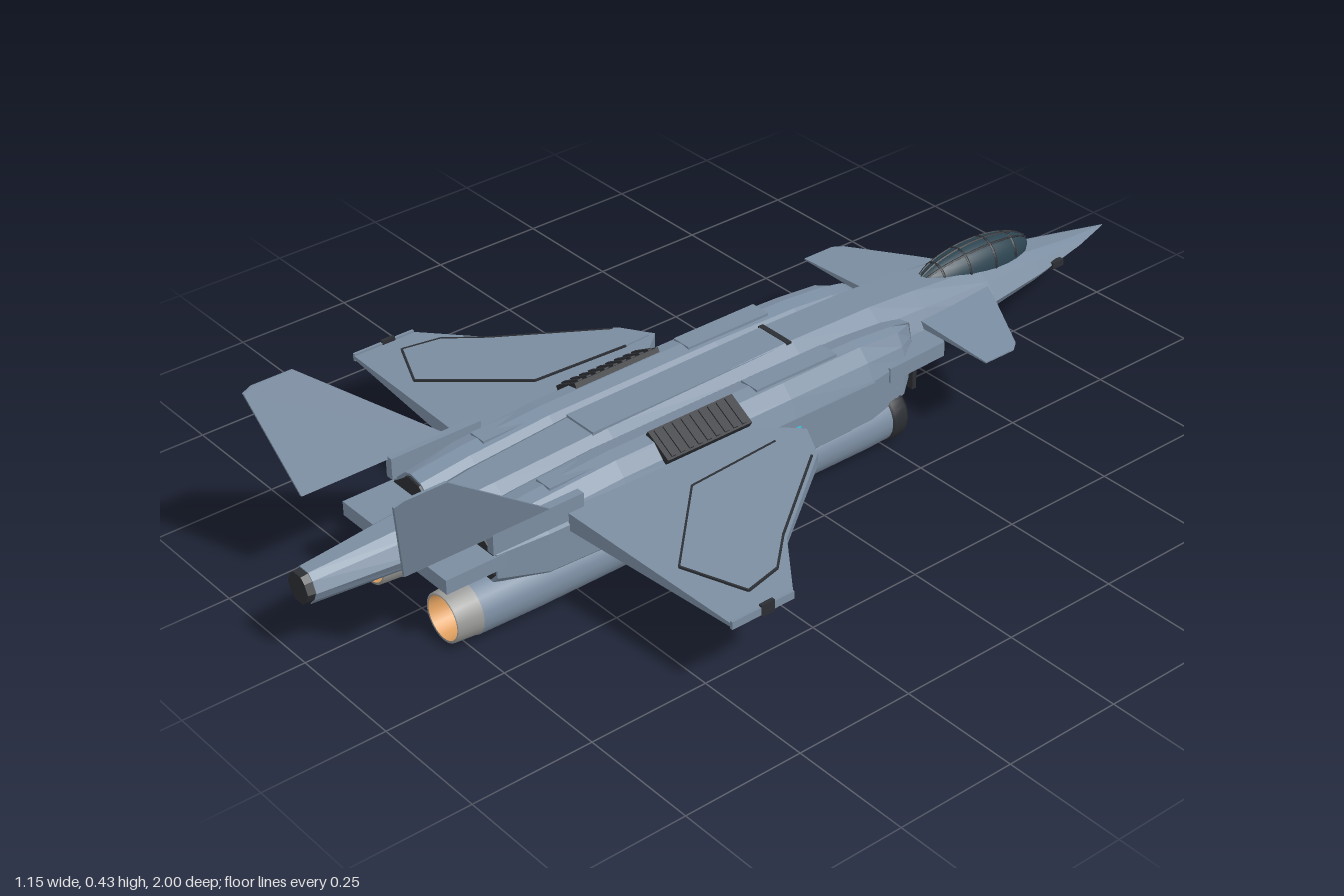
import * as THREE from 'three';

const mat = (color) => new THREE.MeshStandardMaterial({ color, flatShading: true, side: THREE.DoubleSide });
const smooth = (color) => new THREE.MeshStandardMaterial({ color, side: THREE.DoubleSide });
const HULL = 0x7b8da1, DARK = 0x2b2e33, METAL = 0x9a9a98, GLOW = 0xe0a060, CYAN = 0x35c4dc;

// Skin between cross-sections [z, [[x, y], ...]] listed front to back, corners counter-clockwise
function loft(sections) {
  const pos = [], put = (s, i) => pos.push(s[1][i][0], s[1][i][1], s[0]);
  const n = sections[0][1].length, last = sections[sections.length - 1];
  for (let k = 0; k + 1 < sections.length; k++) {
    const a = sections[k], b = sections[k + 1];
    for (let i = 0; i < n; i++) {
      const j = (i + 1) % n;
      put(a, i); put(a, j); put(b, j);
      put(a, i); put(b, j); put(b, i);
    }
  }
  for (let i = 1; i + 1 < n; i++) {
    put(sections[0], 0); put(sections[0], i + 1); put(sections[0], i);
    put(last, 0); put(last, i); put(last, i + 1);
  }
  const g = new THREE.BufferGeometry();
  g.setAttribute('position', new THREE.Float32BufferAttribute(pos, 3));
  g.computeVertexNormals();
  return g;
}

// Flat surface from [x, z] outline; bottom and top heights are functions of x
function plate(outline, low, high) {
  const shape = new THREE.Shape(outline.map(([x, z]) => new THREE.Vector2(x, -z)));
  const g = new THREE.ExtrudeGeometry(shape, { depth: 1, bevelEnabled: false });
  g.rotateX(-Math.PI / 2);
  const p = g.attributes.position;
  for (let i = 0; i < p.count; i++) p.setY(i, p.getY(i) > 0.5 ? high(p.getX(i)) : low(p.getX(i)));
  g.computeVertexNormals();
  return g;
}

// Turned part along z from [radius, z] points
function turned(points, sides = 24) {
  return new THREE.LatheGeometry(points.map(([r, z]) => new THREE.Vector2(r, z)), sides).rotateX(Math.PI / 2);
}

function box(w, h, d, x, y, z) {
  return new THREE.BoxGeometry(w, h, d).translate(x, y, z);
}

function mirrored(geo) {
  const g = geo.index ? geo.toNonIndexed() : geo.clone();
  g.scale(-1, 1, 1);
  for (const a of Object.values(g.attributes)) {
    for (let i = 0; i < a.count; i += 3) {
      for (let c = 0; c < a.itemSize; c++) {
        const t = a.getComponent(i + 1, c);
        a.setComponent(i + 1, c, a.getComponent(i + 2, c));
        a.setComponent(i + 2, c, t);
      }
    }
  }
  return g;
}

export function createModel() {
  const root = new THREE.Group();
  const hull = mat(HULL), dark = mat(DARK), cyan = mat(CYAN), glass = smooth(0x2c4450);
  const hullSmooth = smooth(HULL), darkSmooth = smooth(DARK), metal = smooth(METAL), glow = smooth(GLOW);
  const add = (name, geo, material) => {
    const m = new THREE.Mesh(geo, material);
    m.name = name;
    root.add(m);
  };
  const pair = (name, geo, material) => {
    add(name + 'Left', geo, material);
    add(name + 'Right', mirrored(geo), material);
  };

  // Central fuselage from nose to tail boom
  const body = (z, w, top, mid, bot) => {
    const half = [[w, mid], [w * 0.72, mid + (top - mid) * 0.65], [w * 0.38, top]];
    const under = [[w * 0.4, bot], [w * 0.78, bot + (mid - bot) * 0.45]];
    const flip = (list) => list.map(([x, y]) => [-x, y]).reverse();
    return [z, [...half, ...flip(half), ...flip(under), ...under]];
  };
  add('fuselage', loft([
    body(-1, 0.001, 0.166, 0.165, 0.164), body(-0.9, 0.032, 0.178, 0.165, 0.152),
    body(-0.75, 0.066, 0.202, 0.167, 0.132), body(-0.6, 0.09, 0.222, 0.17, 0.118),
    body(-0.42, 0.098, 0.24, 0.17, 0.106), body(-0.3, 0.1, 0.248, 0.17, 0.095),
    body(-0.1, 0.1, 0.251, 0.17, 0.09), body(0.35, 0.1, 0.241, 0.17, 0.09),
    body(0.6, 0.085, 0.226, 0.165, 0.1), body(0.75, 0.062, 0.212, 0.163, 0.118),
    body(0.985, 0.036, 0.196, 0.163, 0.13)]), hull);
  add('tailCap', loft([body(0.985, 0.034, 0.194, 0.163, 0.132), body(1, 0.032, 0.192, 0.163, 0.134)]), dark);
  add('spinePanel', box(0.08, 0.008, 0.46, 0, 0.244, 0.15).rotateX(0.01), hull);
  add('spineBand', box(0.084, 0.006, 0.012, 0, 0.249, -0.09), dark);
  pair('noseSensor', box(0.012, 0.014, 0.03, 0.053, 0.165, -0.81), dark);

  // Side nacelles with swept intake hoods
  const nacelle = (z, s, top, x1, bot) => [z, [
    [x1, 0.175], [x1 - 0.016 * s, top - 0.03], [x1 - 0.04 * s, top - 0.005], [0.1, top],
    [0.07, top - 0.005], [0.045, top - 0.025], [0.035, 0.13], [0.055, bot], [x1 - 0.014, bot], [x1, bot + 0.015]]];
  pair('nacelle', loft([
    nacelle(-0.35, 0.3, 0.222, 0.11, 0.11), nacelle(-0.3, 0.6, 0.232, 0.145, 0.085),
    nacelle(-0.2, 1, 0.24, 0.162, 0.075), nacelle(0, 1, 0.243, 0.168, 0.075),
    nacelle(0.4, 1, 0.24, 0.168, 0.075), nacelle(0.58, 1, 0.228, 0.166, 0.08),
    nacelle(0.69, 1, 0.215, 0.158, 0.11)]), hull);
  pair('nacelleRearFace', loft([nacelle(0.688, 1, 0.211, 0.154, 0.114), nacelle(0.694, 1, 0.209, 0.152, 0.116)]), dark);
  pair('shoulderShelf', plate([[0.08, -0.42], [0.15, -0.4], [0.157, -0.25], [0.08, -0.25]],
    () => 0.15, () => 0.182), hull);
  pair('intakeMouth', box(0.07, 0.075, 0.01, 0.1, 0.13, -0.336), dark);
  pair('rearShelf', box(0.11, 0.03, 0.13, 0.105, 0.158, 0.735), hull);
  pair('sideStrip', box(0.004, 0.006, 0.42, 0.1685, 0.155, 0.2), cyan);
  pair('sideLedge', box(0.012, 0.012, 0.6, 0.163, 0.172, 0.1), hull);
  pair('upperPanelFront', box(0.045, 0.006, 0.2, 0.1, 0.241, -0.04), hull);
  pair('upperPanelRear', box(0.04, 0.006, 0.18, 0.1, 0.235, 0.45).rotateX(0.01), hull);

  // Slotted vents on the nacelle shoulders
  const vent = new THREE.Group();
  vent.name = 'vents';
  const slope = (g, z) => g.rotateZ(-0.52).translate(0.135, 0.227, z);
  for (const side of [1, -1]) {
    const put = (name, geo, material) => {
      const m = new THREE.Mesh(side > 0 ? geo : mirrored(geo), material);
      m.name = name;
      vent.add(m);
    };
    put('ventBed', slope(new THREE.BoxGeometry(0.068, 0.014, 0.2), 0.21), dark);
    for (let i = 0; i < 9; i++) put('ventSlat', slope(new THREE.BoxGeometry(0.06, 0.02, 0.01), 0.126 + i * 0.021), dark);
  }
  root.add(vent);

  // Canopy with frame bars
  add('canopy', new THREE.SphereGeometry(1, 28, 18).scale(0.043, 0.053, 0.155).translate(0, 0.21, -0.615), glass);
  for (const t of [-0.6, -0.2, 0.25, 0.65]) {
    const r = Math.sqrt(1 - t * t);
    add('canopyFrame', new THREE.TorusGeometry(r, 0.05, 5, 20, Math.PI)
      .scale(0.043, 0.053, 0.06).translate(0, 0.21, -0.615 + t * 0.155), dark);
  }
  for (const a of [-0.5, 0, 0.5]) {
    const pts = [];
    for (let i = 0; i <= 12; i++) {
      const t = -0.95 + i * 1.9 / 12, r = Math.sqrt(1 - t * t);
      pts.push(new THREE.Vector3(Math.sin(a) * r * 0.043, 0.21 + Math.cos(a) * r * 0.053, -0.615 + t * 0.155));
    }
    add('canopyRail', new THREE.TubeGeometry(new THREE.CatmullRomCurve3(pts), 20, 0.0025, 5), dark);
  }

  // Canards
  pair('canard', plate([[0.06, -0.6], [0.11, -0.575], [0.25, -0.495], [0.265, -0.475], [0.265, -0.4], [0.06, -0.4]],
    (x) => 0.182 + x * 0.015, (x) => 0.202 - x * 0.05), hull);
  pair('canardRootGlow', box(0.004, 0.006, 0.14, 0.1, 0.178, -0.48), cyan);

  // Main wings, raised wing panels and tip rails
  const wingTop = (x) => 0.199 - (x - 0.16) * 0.072;
  pair('wing', plate([[0.14, 0.13], [0.165, 0.095], [0.215, 0.035], [0.285, 0.025 + 0.04], [0.22, 0.02]].slice(0, 3)
    .concat([[0.225, 0.025], [0.295, 0.06], [0.45, 0.27], [0.57, 0.36], [0.57, 0.5], [0.14, 0.537]]),
    () => 0.162, wingTop), hull);
  const panel = [[0.222, 0.1], [0.235, 0.31], [0.4, 0.475], [0.522, 0.42], [0.505, 0.34], [0.44, 0.27], [0.295, 0.075], [0.225, 0.04]];
  pair('wingPanel', plate(panel, () => 0.166, (x) => wingTop(x) + 0.003), hull);
  panel.slice(0, 6).forEach(([x, z], i) => {
    const [x2, z2] = panel[i + 1], n = new THREE.Vector2(z2 - z, x - x2).normalize().multiplyScalar(0.002);
    pair('panelSeam', plate([[x - n.x, z - n.y], [x + n.x, z + n.y], [x2 + n.x, z2 + n.y], [x2 - n.x, z2 - n.y]],
      () => 0.167, (q) => wingTop(q) + 0.004), dark);
  });
  pair('wingTipRail', box(0.006, 0.016, 0.14, 0.57, 0.166, 0.43), hull);
  pair('wingTipLight', box(0.008, 0.024, 0.03, 0.57, 0.166, 0.42), dark);

  // Canted tail fins
  const fin = new THREE.ExtrudeGeometry(new THREE.Shape(
    [[0.57, 0.222], [0.885, 0.222], [0.94, 0.425], [0.92, 0.432], [0.835, 0.432]].map((p) => new THREE.Vector2(...p))),
    { depth: 0.006, bevelEnabled: false });
  fin.applyMatrix4(new THREE.Matrix4().set(0, 0.345, -1, 0.086, 0, 1, 0, 0, 1, 0, 0, 0, 0, 0, 0, 1));
  pair('tailFin', fin, hull);
  pair('finRoot', box(0.018, 0.045, 0.2, 0.155, 0.205, 0.6), hull);

  // Underslung engines
  const at = (g) => g.translate(0.115, 0.059, 0);
  pair('engineLip', at(turned([[0.04, -0.2], [0.042, -0.28], [0.049, -0.295], [0.056, -0.285], [0.058, -0.255], [0.054, -0.25]])), darkSmooth);
  pair('engineInlet', at(turned([[0.001, -0.26], [0.02, -0.22], [0.042, -0.2]])), darkSmooth);
  pair('enginePod', at(turned([[0.053, -0.255], [0.055, -0.2], [0.055, 0.3], [0.056, 0.6], [0.054, 0.73]])), hullSmooth);
  pair('engineNozzle', at(turned([[0.054, 0.725], [0.052, 0.74], [0.049, 0.782], [0.044, 0.782]])), metal);
  pair('nozzleLiner', at(turned([[0.046, 0.782], [0.036, 0.69], [0.026, 0.69]])), glow);
  pair('nozzleCore', at(turned([[0.027, 0.692], [0.001, 0.692]])), smooth(0xc98a50));
  pair('enginePylon', box(0.07, 0.04, 0.84, 0.115, 0.105, 0.14), hull);

  // Belly pod
  add('bellyPod', turned([[0.001, -0.31], [0.014, -0.3], [0.021, -0.27], [0.021, 0.58], [0.017, 0.62], [0.001, 0.63]], 16)
    .translate(0, 0.065, 0), darkSmooth);
  add('bellyPylon', box(0.016, 0.04, 0.7, 0, 0.092, 0.15), dark);
  return root;
}
